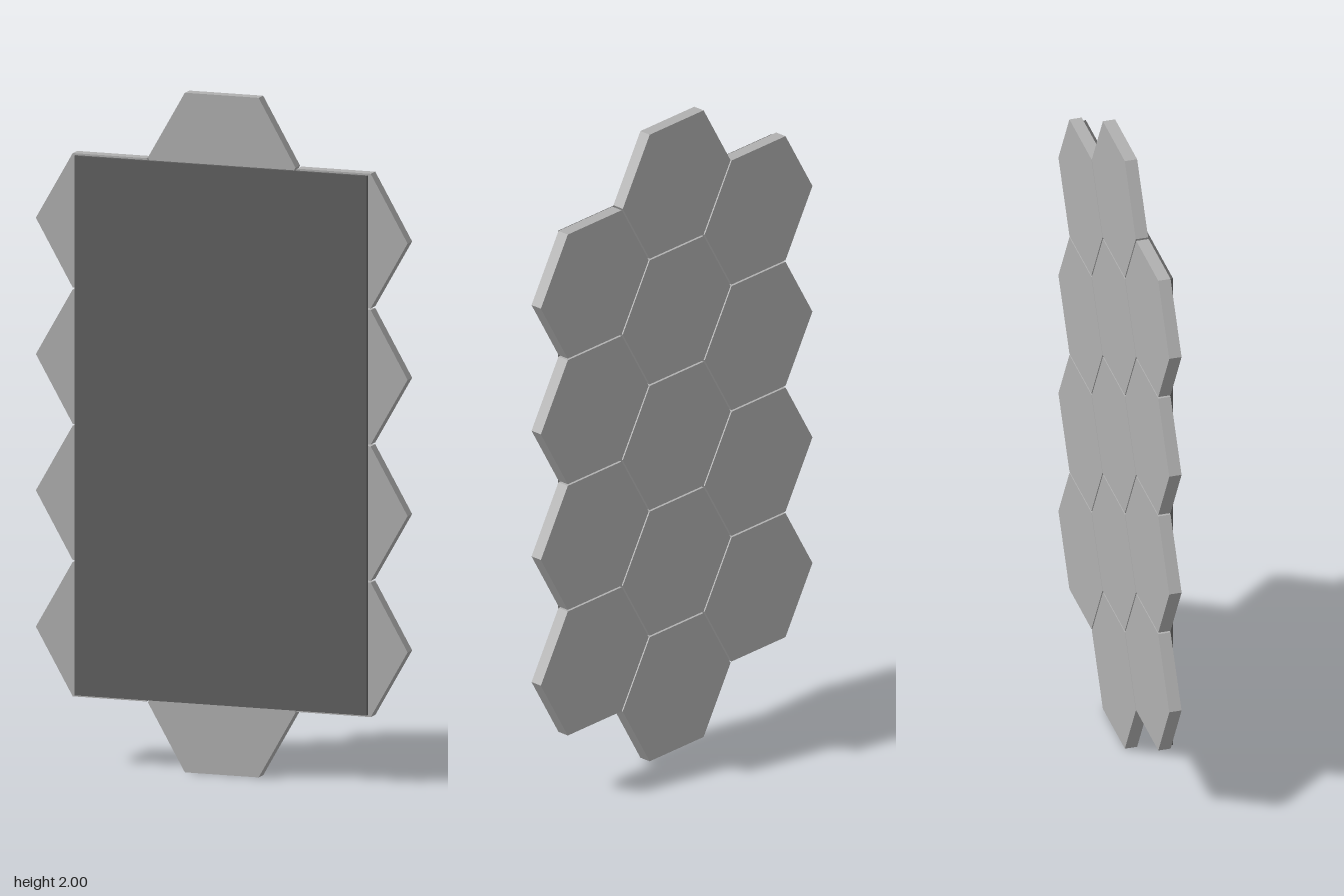
import * as THREE from 'three';

export function createModel() {
  const model = new THREE.Group();
  const tileGrey = new THREE.MeshStandardMaterial({ color: 0xb0b0b0, flatShading: true });
  tileGrey.name = 'light grey';
  const panelGrey = new THREE.MeshStandardMaterial({ color: 0x606060 });
  panelGrey.name = 'dark grey';

  const radius = 0.2285;
  const back = -0.0235, joint = 0.0135, front = 0.0235;
  const rowStep = (2 - radius * Math.sqrt(3)) / 4;
  const columnStep = rowStep * Math.sqrt(3) / 2;

  // Hexagonal tiles with corners pointing sideways, in columns of 4, 5 and 4
  const tileGeometry = new THREE.CylinderGeometry(radius, radius, joint - back, 6, 1, false, Math.PI / 2)
    .rotateX(Math.PI / 2);
  const tiles = new THREE.Group();
  tiles.name = 'hexagonTiles';
  for (const column of [-1, 0, 1]) {
    const count = column === 0 ? 5 : 4;
    for (let row = 0; row < count; row++) {
      const tile = new THREE.Mesh(tileGeometry, tileGrey);
      tile.name = 'hexagonTile';
      tile.position.set(column * columnStep, 1 + (row - (count - 1) / 2) * rowStep, (back + joint) / 2);
      tiles.add(tile);
    }
  }
  model.add(tiles);

  // Flat rectangular panel on the front
  const panel = new THREE.Mesh(new THREE.BoxGeometry(0.906, 1.588, front - joint), panelGrey);
  panel.name = 'frontPanel';
  panel.position.set(0, 1, (joint + front) / 2);
  model.add(panel);

  return model;
}
